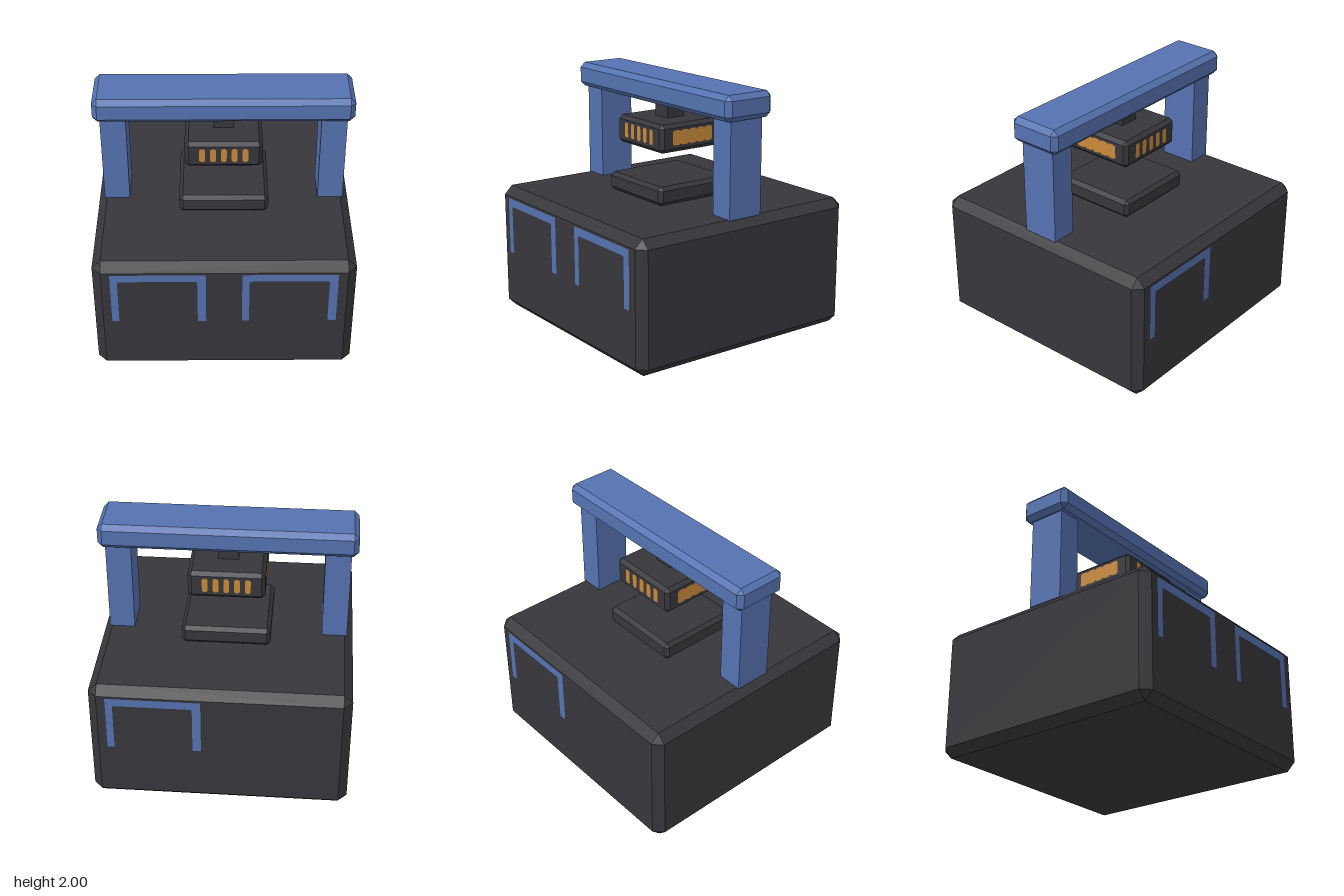
import * as THREE from 'three';
import { ConvexGeometry } from 'three/addons/geometries/ConvexGeometry.js';

const paint = (name, color) => {
  const m = new THREE.MeshStandardMaterial({ color });
  m.name = name;
  return m;
};

// Box with every edge cut at 45 degrees
function chamferBox(w, h, d, c) {
  const points = [];
  for (const x of [-1, 1]) for (const y of [-1, 1]) for (const z of [-1, 1]) {
    const [a, b, e] = [w / 2, h / 2, d / 2];
    points.push(
      new THREE.Vector3(x * a, y * (b - c), z * (e - c)),
      new THREE.Vector3(x * (a - c), y * b, z * (e - c)),
      new THREE.Vector3(x * (a - c), y * (b - c), z * e));
  }
  return new ConvexGeometry(points);
}

const flatShape = (pts) =>
  new THREE.ShapeGeometry(new THREE.Shape(pts.map(([x, y]) => new THREE.Vector2(x, y))));

// Upright slot with cut corners
function slotShape(w, h) {
  const a = w / 2, b = h / 2, cx = w * 0.25, cy = 0.012;
  return flatShape([[-a, -b + cy], [-a + cx, -b], [a - cx, -b], [a, -b + cy],
    [a, b - cy], [a - cx, b], [-a + cx, b], [-a, b - cy]]);
}

export function createModel() {
  const model = new THREE.Group();
  model.name = 'press';
  const dark = paint('charcoal', 0x37363b);
  const blue = paint('blue', 0x5572b0);
  const orange = paint('orange', 0xc98a3a);

  const add = (name, geometry, material, x, y, z, parent = model) => {
    const mesh = new THREE.Mesh(geometry, material);
    mesh.name = name;
    mesh.position.set(x, y, z);
    parent.add(mesh);
    return mesh;
  };

  // Body and lower pad
  add('base', chamferBox(2, 1.05, 2, 0.068), dark, 0, 0.525, 0);
  add('pad', chamferBox(0.7, 0.15, 0.7, 0.03), dark, 0, 1.125, 0);

  // Gantry
  add('beam', chamferBox(2, 0.2, 0.44, 0.04), blue, 0, 1.9, 0);
  for (const side of [-1, 1]) {
    add(side > 0 ? 'leftPost' : 'rightPost', new THREE.BoxGeometry(0.2, 0.76, 0.3), blue, side * 0.85, 1.425, 0);
  }

  // Hanging press head
  add('neck', new THREE.BoxGeometry(0.16, 0.15, 0.16), dark, 0, 1.735, 0);
  add('head', chamferBox(0.6, 0.225, 0.6, 0.03), dark, 0, 1.5625, 0);

  // Five slots on each face of the head; those on the sides are wide and touch
  const narrow = slotShape(0.045, 0.12), wide = slotShape(0.08, 0.12);
  ['front', 'left', 'back', 'right'].forEach((face, i) => {
    const row = new THREE.Group();
    row.name = face + 'Slots';
    row.rotation.y = i * Math.PI / 2;
    const onSide = i % 2 === 1;
    for (let k = -2; k <= 2; k++) {
      add('slot', onSide ? wide : narrow, orange, k * (onSide ? 0.077 : 0.083), 1.566, 0.303, row);
    }
    model.add(row);
  });

  // Bracket-shaped trim: two on the front, one on the back
  const bracket = flatShape([[0, 0], [0.055, 0], [0.055, 0.39], [0.065, 0.4], [0.65, 0.4],
    [0.66, 0.39], [0.66, 0], [0.725, 0], [0.725, 0.465], [0, 0.465]]);
  add('frontRightTrim', bracket, blue, -0.865, 0.5, 1.003);
  add('frontLeftTrim', bracket, blue, 0.135, 0.5, 1.003);
  add('backTrim', bracket, blue, 0.865, 0.5, -1.003).rotation.y = Math.PI;

  return model;
}
